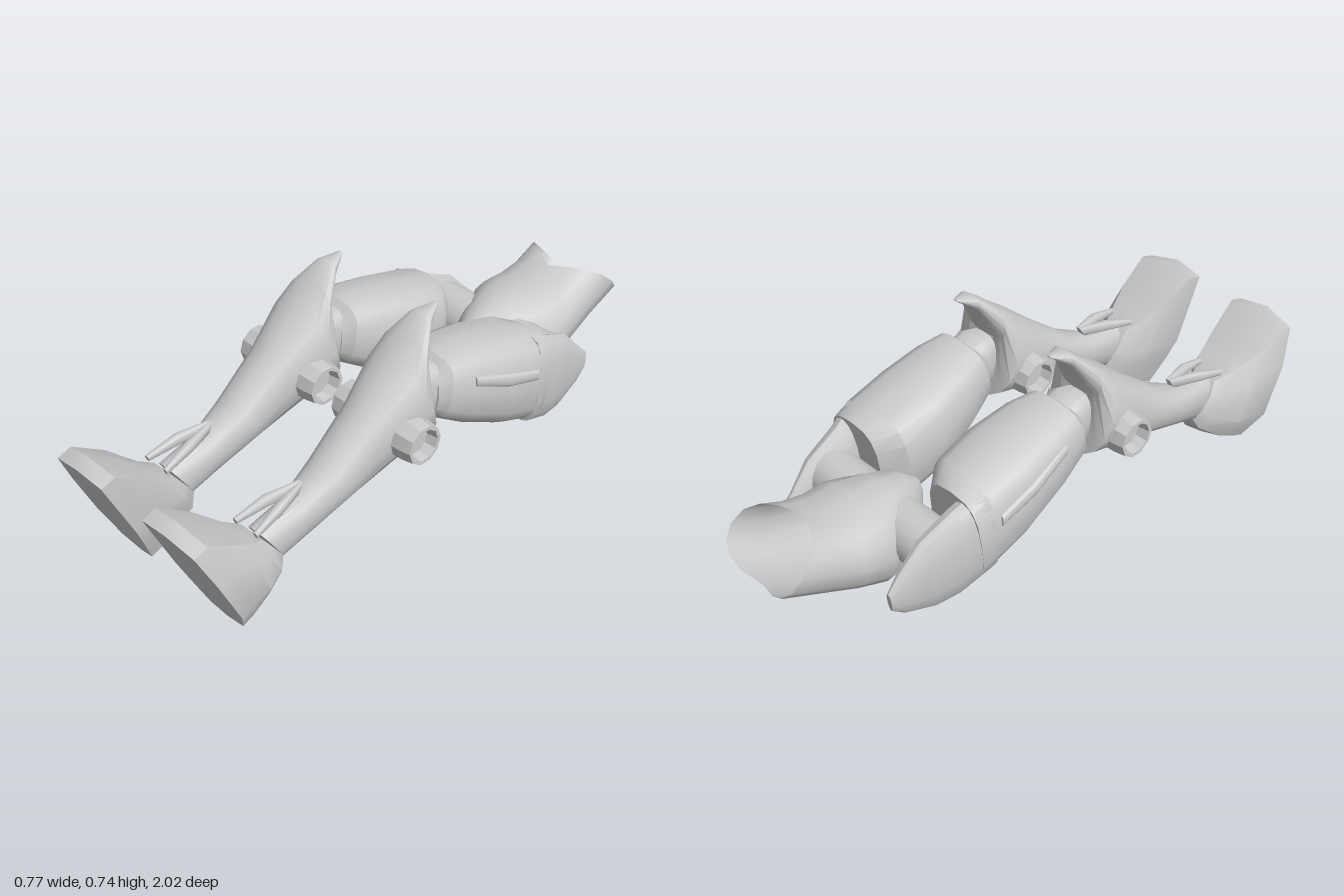
import * as THREE from 'three';
import { toCreasedNormals } from 'three/addons/utils/BufferGeometryUtils.js';

const grey = new THREE.MeshStandardMaterial({ color: 0xcccccc });
const greyOpen = new THREE.MeshStandardMaterial({ color: 0xcccccc, side: THREE.DoubleSide });

// rounded outline in unit space, starting at the top and running towards +x
function oval(n, power) {
  const p = (v) => Math.sign(v) * Math.abs(v) ** power;
  return Array.from({ length: n }, (_, i) => {
    const a = (i / n) * Math.PI * 2;
    return [p(Math.sin(a)), p(Math.cos(a))];
  });
}
const round = oval(16, 0.85);
const boxy = oval(16, 0.65);
const soleOutline = [[-0.1, 1], [0.78, 0.87], [1, 0.3], [1, -0.45], [0.57, -0.89],
  [-0.1, -1], [-0.6, -0.9], [-0.85, -0.45], [-1, -0.1], [-0.97, 0.92]];

// skin over sections running towards -z;
// section: [topZ, topY, bottomZ, bottomY, centreX, halfWidth, sideShiftZ, sideShiftY]
function loft(name, sections, outline, side = 1, caps = true, crease = 0.6) {
  const pos = [], idx = [], n = outline.length;
  const ring = side > 0 ? outline : [...outline].reverse();
  for (const [tz, ty, bz, by, cx, hw, sz = 0, sy = 0] of sections) {
    for (const [u, v] of ring) {
      const k = (v + 1) / 2, e = Math.abs(u);
      pos.push(side * (cx + u * hw), by + (ty - by) * k + sy * e, bz + (tz - bz) * k + sz * e);
    }
  }
  for (let i = 0; i < sections.length - 1; i++) {
    for (let j = 0; j < n; j++) {
      const a = i * n + j, b = i * n + ((j + 1) % n);
      idx.push(a, b, a + n, b, b + n, a + n);
    }
  }
  const cap = (s, first, start) => {
    const c = pos.length / 3;
    pos.push(side * s[4], (s[1] + s[3]) / 2, (s[0] + s[2]) / 2);
    for (let j = 0; j < n; j++) {
      const a = first + j, b = first + ((j + 1) % n);
      if (start) idx.push(c, b, a); else idx.push(c, a, b);
    }
  };
  const last = sections.length - 1;
  cap(sections[0], 0, true);
  if (caps) cap(sections[last], last * n, false);
  const geo = new THREE.BufferGeometry();
  geo.setAttribute('position', new THREE.Float32BufferAttribute(pos, 3));
  geo.setIndex(idx);
  const mesh = new THREE.Mesh(toCreasedNormals(geo, crease), caps ? grey : greyOpen);
  mesh.name = name;
  return mesh;
}

// cylinder lying along x
function crossPin(name, radius, length, sides, x, y, z) {
  const geo = new THREE.CylinderGeometry(radius, radius, length, sides).rotateZ(Math.PI / 2);
  const mesh = new THREE.Mesh(toCreasedNormals(geo, 0.6), grey);
  mesh.position.set(x, y, z);
  mesh.name = name;
  return mesh;
}

function createLeg(side) {
  const leg = new THREE.Group();
  leg.name = side > 0 ? 'leftLeg' : 'rightLeg';
  const footX = side > 0 ? 0.203 : 0.233;

  // foot with a broad, flat sole
  leg.add(loft('foot', [
    [1.0, 0.44, 0.8, 0.008, footX, 0.1275],
    [0.95, 0.457, 0.76, 0.025, footX, 0.1275],
    [0.84, 0.385, 0.69, 0.065, footX, 0.112],
    [0.76, 0.32, 0.63, 0.112, 0.21, 0.078],
    [0.71, 0.295, 0.61, 0.16, 0.21, 0.052],
  ], soleOutline, side));

  // forked guard above the ankle
  for (const f of [-1, 1]) {
    leg.add(loft('ankleProng', [
      [0.73, 0.325, 0.725, 0.305, 0.207 + f * 0.045, 0.008],
      [0.62, 0.36, 0.62, 0.325, 0.207 + f * 0.028, 0.016],
      [0.51, 0.37, 0.53, 0.33, 0.207 + f * 0.004, 0.008],
    ], boxy, side));
  }

  // shin flaring into the pointed knee shield
  leg.add(loft('shin', [
    [0.7, 0.295, 0.61, 0.155, 0.21, 0.05],
    [0.56, 0.322, 0.51, 0.195, 0.212, 0.06],
    [0.44, 0.385, 0.33, 0.262, 0.212, 0.085],
    [0.28, 0.515, 0.2, 0.292, 0.212, 0.1],
    [0.155, 0.625, 0.04, 0.345, 0.212, 0.135],
    [0.08, 0.685, 0.075, 0.56, 0.21, 0.095],
    [0.015, 0.737, 0.01, 0.69, 0.208, 0.045],
    [-0.05, 0.744, -0.045, 0.736, 0.208, 0.01],
  ], round, side));

  // knee hubs with recessed ends
  const hubProfile = [[0.06, 0], [0.06, 0.07], [0.074, 0.08], [0.072, 0.13],
    [0.066, 0.17], [0.054, 0.17], [0.048, 0.13], [0, 0.13]].map(([r, h]) => new THREE.Vector2(r, h));
  const hubGeo = toCreasedNormals(new THREE.LatheGeometry(hubProfile, 10), 0.5);
  for (const f of [-1, 1]) {
    const hub = new THREE.Mesh(hubGeo, grey);
    hub.rotation.z = -f * Math.PI / 2;
    hub.position.set(side * 0.215, 0.412, 0.168);
    hub.name = 'kneeHub';
    leg.add(hub);
  }

  // link between shin and thigh
  leg.add(loft('kneeLink', [
    [0.09, 0.56, 0.08, 0.38, 0.213, 0.06],
    [0.03, 0.57, 0.03, 0.39, 0.213, 0.08],
    [-0.05, 0.55, -0.04, 0.38, 0.213, 0.07],
  ], boxy, side));

  // thigh armour, ending in its inner hip edge
  leg.add(loft('thigh', [
    [0.015, 0.535, 0.03, 0.4, 0.215, 0.085],
    [-0.03, 0.577, 0.015, 0.375, 0.212, 0.115],
    [-0.12, 0.572, -0.1, 0.3, 0.207, 0.138],
    [-0.26, 0.542, -0.25, 0.222, 0.203, 0.155],
    [-0.4, 0.505, -0.36, 0.178, 0.207, 0.148],
    [-0.47, 0.475, -0.43, 0.15, 0.23, 0.112],
  ], boxy, side));

  // hip shield sweeping back from the outside of the thigh
  leg.add(loft('hipShield', [
    [-0.41, 0.49, -0.38, 0.175, 0.29, 0.062],
    [-0.5, 0.444, -0.5, 0.125, 0.27, 0.058],
    [-0.62, 0.39, -0.58, 0.118, 0.26, 0.045],
    [-0.7, 0.305, -0.69, 0.152, 0.252, 0.025],
    [-0.745, 0.26, -0.735, 0.19, 0.255, 0.01],
  ], round, side));

  // raised strip along the outer thigh
  leg.add(loft('thighStrip', [
    [-0.1, 0.51, -0.1, 0.47, 0.325, 0.02],
    [-0.24, 0.458, -0.24, 0.41, 0.343, 0.02],
    [-0.38, 0.405, -0.38, 0.365, 0.343, 0.016],
  ], boxy, side));

  // hip joint
  leg.add(crossPin('hipJoint', 0.09, 0.16, 14, side * 0.16, 0.31, -0.55));
  return leg;
}

export function createModel() {
  const model = new THREE.Group();
  model.name = 'mechanicalLegs';
  for (const side of [1, -1]) model.add(createLeg(side));

  // pelvis running back into an open waist with a dipped front rim
  model.add(loft('pelvis', [
    [-0.41, 0.36, -0.41, 0.26, 0, 0.03],
    [-0.47, 0.41, -0.45, 0.165, 0, 0.085],
    [-0.56, 0.432, -0.53, 0.108, 0, 0.14],
    [-0.66, 0.44, -0.65, 0.135, 0, 0.185],
    [-0.74, 0.435, -0.76, 0.18, 0, 0.18],
    [-0.79, 0.445, -0.88, 0.23, 0.003, 0.165, -0.03, 0.015],
    [-0.83, 0.455, -0.995, 0.285, 0.005, 0.168, -0.06, 0.035],
  ], round, 1, false, 0.8));
  return model;
}
